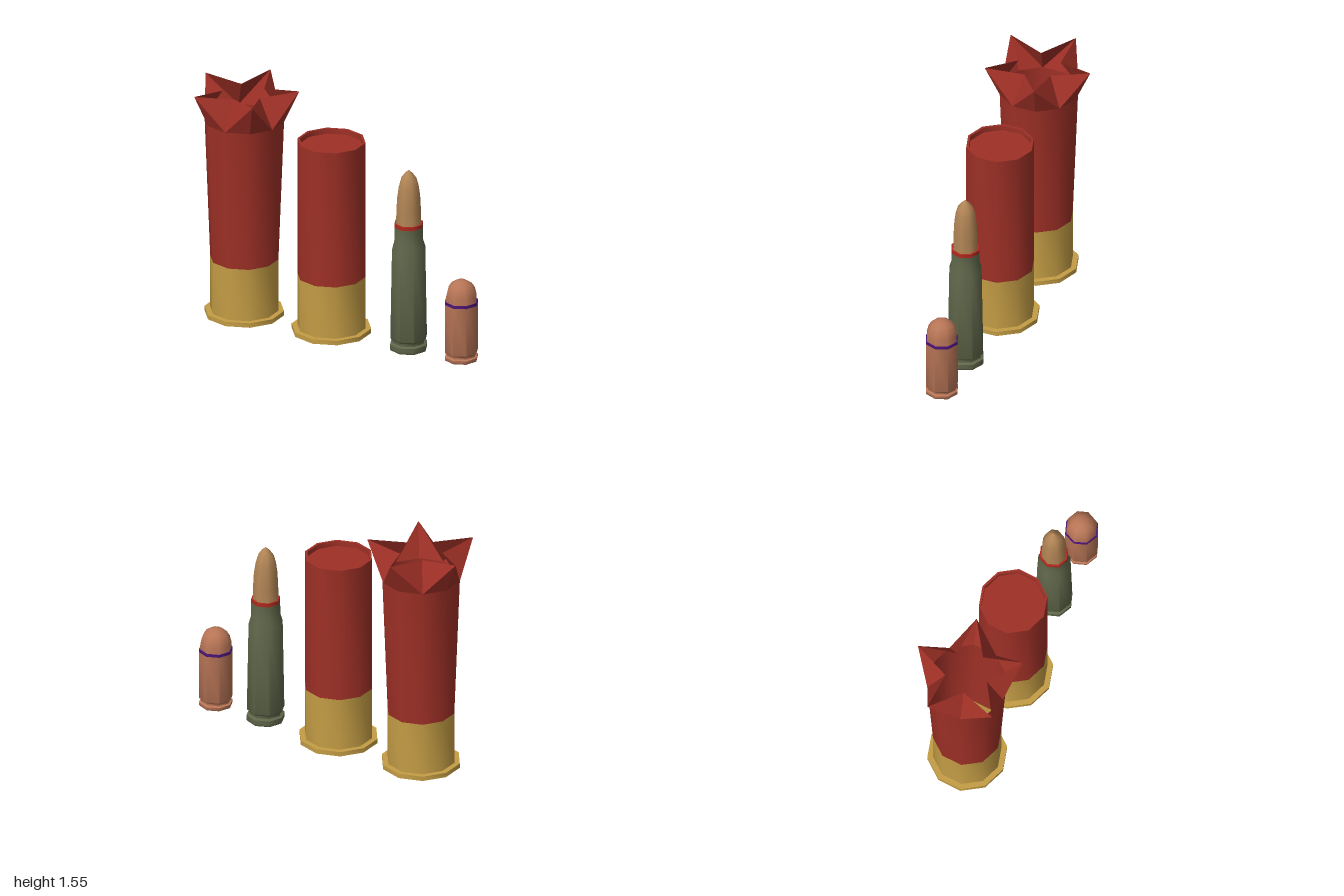
import * as THREE from 'three';
import { toCreasedNormals } from 'three/addons/utils/BufferGeometryUtils.js';

function mat(name, color, side = THREE.FrontSide) {
  const m = new THREE.MeshStandardMaterial({ color, side });
  m.name = name;
  return m;
}

// Revolve a list of [radius, height] points, keeping steps sharp
function turned(name, material, sides, profile) {
  const pts = profile.map(([r, y]) => new THREE.Vector2(r, y));
  const geo = toCreasedNormals(new THREE.LatheGeometry(pts, sides), 0.85);
  const mesh = new THREE.Mesh(geo, material);
  mesh.name = name;
  return mesh;
}

// Five-pointed burst mouth: ten lower corners joined to alternating valleys and tips
function burstMouth(material) {
  const lower = [], upper = [], pos = [];
  for (let i = 0; i < 10; i++) {
    const a = (i * Math.PI) / 5, tip = i % 2 === 1;
    const at = (r, y) => [r * Math.sin(a), y, r * Math.cos(a)];
    lower.push(at(0.255, 1.34));
    upper.push(tip ? at(0.352, 1.555) : at(0.14, 1.525));
  }
  for (let i = 0; i < 10; i++) {
    const j = (i + 1) % 10;
    const [a, b, c, d] = [lower[i], lower[j], upper[j], upper[i]];
    const quad = i % 2 === 1 ? [a, b, d, b, c, d] : [a, b, c, a, c, d];
    // Fold each petal from the valley foot to its tip
    quad.forEach((p) => pos.push(...p));
  }
  const geo = new THREE.BufferGeometry();
  geo.setAttribute('position', new THREE.Float32BufferAttribute(pos, 3));
  geo.computeVertexNormals();
  const mesh = new THREE.Mesh(geo, material);
  mesh.name = 'burstMouth';
  return mesh;
}

export function createModel() {
  const red = mat('redPlastic', 0x9e3026, THREE.DoubleSide);
  const brass = mat('brass', 0xc49d45, THREE.DoubleSide);
  const green = mat('greenLacquer', 0x60674a);
  const tan = mat('tanJacket', 0xb28555);
  const copper = mat('copper', 0xb87556);
  const sealRed = mat('redSealant', 0xb02a1e);
  const purple = mat('purpleSealant', 0x4c1478);

  const model = new THREE.Group();
  model.name = 'ammunitionSet';
  const round = (name, x, ...parts) => {
    const g = new THREE.Group();
    g.name = name;
    g.position.set(x, 0, 0.031);
    g.add(...parts);
    model.add(g);
  };

  // Brass head with rim and dented primer, shared by both shells
  const shellHead = () => turned('brassHead', brass, 10, [
    [0, 0.045], [0.06, 0.038], [0.088, 0.02], [0.255, 0.02],
    [0.255, 0.05], [0.219, 0.05], [0.219, 0.4],
  ]);

  round('spentShell', -0.664,
    shellHead(),
    turned('flaredTube', red, 10, [[0.219, 0.4], [0.255, 1.34]]),
    burstMouth(red));

  round('loadedShell', -0.04,
    shellHead(),
    turned('straightTube', red, 10, [
      [0.219, 0.4], [0.219, 1.315], [0.203, 1.315], [0.203, 1.28], [0, 1.28],
    ]));

  round('rifleRound', 0.512,
    turned('riflePrimer', brass, 8, [[0, 0.012], [0.06, 0.012]]),
    turned('rifleCase', green, 8, [
      [0.06, 0.012], [0.06, 0.003], [0.118, 0.003], [0.123, 0.012], [0.123, 0.045],
      [0.105, 0.052], [0.105, 0.07], [0.121, 0.085], [0.11, 0.69],
      [0.095, 0.74], [0.094, 0.838],
    ]),
    turned('rifleSeal', sealRed, 8, [
      [0.094, 0.838], [0.094, 0.862], [0.08, 0.862],
    ]),
    turned('rifleBullet', tan, 8, [
      [0.083, 0.86], [0.081, 0.95], [0.076, 1.04], [0.066, 1.11],
      [0.052, 1.16], [0.028, 1.195], [0, 1.222],
    ]));

  round('pistolRound', 0.889,
    turned('pistolPrimer', brass, 8, [[0, 0.012], [0.055, 0.012]]),
    turned('pistolCase', copper, 8, [
      [0.055, 0.012], [0.055, 0.003], [0.104, 0.003], [0.109, 0.01], [0.109, 0.028],
      [0.095, 0.034], [0.095, 0.046], [0.109, 0.06], [0.109, 0.384],
    ]),
    turned('pistolSeal', purple, 8, [
      [0.109, 0.384], [0.109, 0.402], [0.098, 0.402],
    ]),
    turned('pistolBullet', copper, 8, [
      [0.102, 0.4], [0.1, 0.44], [0.09, 0.482], [0.07, 0.514],
      [0.038, 0.536], [0, 0.543],
    ]));

  return model;
}
